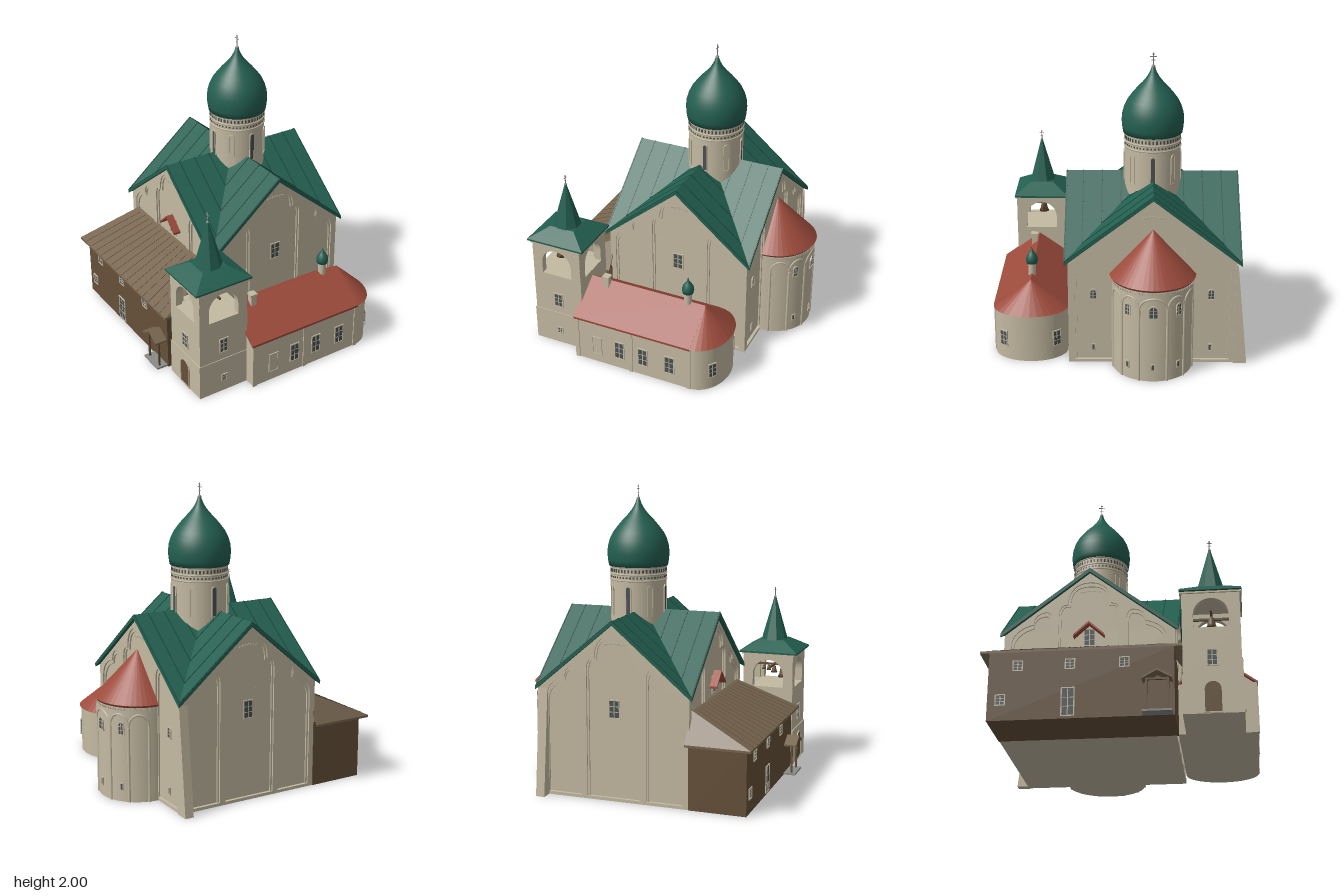
import * as THREE from 'three';

const mat = (name, color) => Object.assign(new THREE.MeshStandardMaterial({ color }), { name });

export function createModel() {
  const stone = mat('limestone', 0xc4baa2), green = mat('greenRoof', 0x235f50), seam = mat('darkGreenSeam', 0x1a483d);
  const red = mat('redTile', 0x9c4b3b), shingle = mat('shingle', 0x77664f), wood = mat('darkWood', 0x655039);
  const glass = mat('windowGlass', 0x4a5052), trim = mat('paleTrim', 0xb9b3a2), metal = mat('greyMetal', 0x8b8b86);
  const root = new THREE.Group();
  root.name = 'church';

  // ---- helpers ----
  const add = (name, geo, m, x = 0, y = 0, z = 0, parent = root) => {
    const mesh = new THREE.Mesh(geo, m);
    mesh.name = name;
    mesh.position.set(x, y, z);
    parent.add(mesh);
    return mesh;
  };
  const box = (name, m, x0, x1, y0, y1, z0, z1, parent = root) =>
    add(name, new THREE.BoxGeometry(x1 - x0, y1 - y0, z1 - z0), m, (x0 + x1) / 2, (y0 + y1) / 2, (z0 + z1) / 2, parent);
  const extrude = (shape, depth) => new THREE.ExtrudeGeometry(shape, { depth, bevelEnabled: false, curveSegments: 10 });
  const poly = (pts) => new THREE.Shape(pts.map(p => new THREE.Vector2(...p)));
  const flat = (g) => { const n = g.toNonIndexed(); n.computeVertexNormals(); return n; };
  const lathe = (pts, n = 40) => new THREE.LatheGeometry(pts.map(p => new THREE.Vector2(...p)), n);
  const group = (name, x, y, z, ry = 0, parent = root) => {
    const g = new THREE.Group();
    g.name = name;
    g.position.set(x, y, z);
    g.rotation.y = ry;
    parent.add(g);
    return g;
  };
  // convex roof sheet with vertical thickness
  const slab = (name, corners, m, t = 0.02) => {
    let p = corners.map(c => new THREE.Vector3(...c));
    const n = p[1].clone().sub(p[0]).cross(p[2].clone().sub(p[0]));
    if (n.y < 0) p.reverse();
    const low = p.map(v => v.clone().setY(v.y - t)), out = [];
    for (let i = 0; i < p.length; i++) {
      const j = (i + 1) % p.length;
      if (i > 0 && j > 0) out.push(p[0], p[i], p[j], low[0], low[j], low[i]);
      out.push(p[i], low[i], low[j], p[i], low[j], p[j]);
    }
    const g = new THREE.BufferGeometry().setFromPoints(out);
    g.computeVertexNormals();
    return add(name, g, m);
  };
  const beam = (name, a, b, w, m) => {
    const A = new THREE.Vector3(...a), B = new THREE.Vector3(...b), mid = A.clone().lerp(B, 0.5);
    add(name, new THREE.BoxGeometry(w, w, A.distanceTo(B)), m, mid.x, mid.y, mid.z).lookAt(B);
  };
  const mix = (a, b, f) => a.map((v, i) => v + (b[i] - v) * f);
  // rectangle or round-topped outline standing on y = y0
  const arch = (w, h, round = true, y0 = 0, S = THREE.Shape) => {
    const s = new S(), r = w / 2, top = round ? y0 + h - r : y0 + h;
    s.moveTo(-r, y0).lineTo(r, y0).lineTo(r, top);
    if (round) s.absarc(0, top, r, 0, Math.PI, false); else s.lineTo(-r, top);
    s.lineTo(-r, y0);
    return s;
  };
  const windowAt = (x, y, z, ry, w, h, round = false, bars = true, pane = glass, parent = root) => {
    const g = group('window', x, y, z, ry, parent);
    const rim = arch(w + 0.014, h + 0.014, round, -0.007);
    rim.holes.push(arch(w, h, round, 0, THREE.Path));
    add('windowFrame', extrude(rim, 0.008), stone, 0, 0, -0.001, g);
    add('windowPane', extrude(arch(w, h, round), 0.005), pane, 0, 0, -0.002, g);
    if (bars) {
      box('mullion', trim, -0.003, 0.003, 0, h - 0.003, 0.002, 0.005, g);
      for (const f of [0.33, 0.66]) box('glazingBar', trim, -w / 2, w / 2, h * f - 0.002, h * f + 0.002, 0.002, 0.005, g);
    }
  };
  const onRound = (cx, cz, r, a) => [cx + Math.sin(a) * r, cz + Math.cos(a) * r];
  const finial = (x, y, z, h) => {
    add('finialBall', new THREE.SphereGeometry(h * 0.14, 12, 8), metal, x, y, z);
    add('finialPole', new THREE.CylinderGeometry(0.0025, 0.0035, h, 6), metal, x, y + h / 2, z);
    [[0.9, 0.09], [0.72, 0.24], [0.45, 0.13]].forEach(([f, l]) =>
      box('finialBar', metal, x - 0.002, x + 0.002, y + h * f - 0.002, y + h * f + 0.002, z - h * l, z + h * l));
  };

  // ---- main hall: crossed gable prisms with layered blind-arch fronts ----
  const CX = 0.085, CZ = -0.22, W = 0.51, D = 0.555;
  const gable = (w, k = 1) => poly([[-w * k, 0], [w * k, 0], [w * k, 1.155 - 0.429 * k], [0, 1.155], [-w * k, 1.155 - 0.429 * k]]);
  add('hallCore', extrude(gable(W, 0.961), 2 * (D - 0.02)), stone, CX, 0, CZ - D + 0.02);
  add('hallCore', extrude(gable(D, 0.964), 2 * (W - 0.02)).rotateY(Math.PI / 2), stone, CX - W + 0.02, 0, CZ);
  const blindArches = (w, e) => {
    const s = gable(w), c = new THREE.Path(), a = (0.363 - e) * w, b = (0.255 - e) * w;
    c.moveTo(-a, 0.02).lineTo(a, 0.02).lineTo(a, 0.85).quadraticCurveTo(a, 0.93, b, 0.93 - e / 2);
    c.bezierCurveTo(b, 1.03, b * 0.6, 1.085 - e, 0, 1.085 - e).bezierCurveTo(-b * 0.6, 1.085 - e, -b, 1.03, -b, 0.93 - e / 2);
    c.quadraticCurveTo(-a, 0.93, -a, 0.85).lineTo(-a, 0.02);
    s.holes.push(c);
    for (const q of [-1, 1]) {
      const p = new THREE.Path(), i = q * (0.435 + e) * w, m = q * 0.66 * w, o = q * (0.92 - e) * w;
      p.moveTo(i, 0.02).lineTo(o, 0.02).lineTo(o, 0.64 - e).quadraticCurveTo(o, 0.76 - e, m, 0.795 - e);
      p.quadraticCurveTo(m, 0.87 - e, q * 0.52 * w, 0.88 - e).quadraticCurveTo(i, 0.88 - e, i, 0.8 - e).lineTo(i, 0.02);
      s.holes.push(p);
    }
    return s;
  };
  for (let i = 0; i < 4; i++) {
    const w = i % 2 ? D : W, d = i % 2 ? W : D, front = group('gableFront', CX, 0, CZ, i * Math.PI / 2);
    add('outerArcade', extrude(blindArches(w, 0), 0.01), stone, 0, 0, d - 0.01, front);
    add('innerArcade', extrude(blindArches(w, 0.025), 0.01), stone, 0, 0, d - 0.02, front);
    if (i !== 1) windowAt(0, i === 3 ? 0.64 : 0.55, d - 0.02, 0, 0.065, 0.11, false, true, glass, front);
    for (let k = -3; k <= 3; k++) {
      add('gableOrnament', new THREE.TorusGeometry(0.009, 0.003, 5, 8, Math.PI), trim, k * 0.02, 1.025 - Math.abs(k) * 0.003, d - 0.02, front);
    }
  }
  for (const z of [0.17, -0.605]) {
    windowAt(CX + W - 0.02, 0.455, z, Math.PI / 2, 0.035, 0.065, true);
    windowAt(CX + W - 0.02, 0.08, z, Math.PI / 2, 0.014, 0.04, false, false);
  }
  add('buttress', extrude(poly([[0.76, 0], [0.85, 0], [0.775, 0.71], [0.76, 0.71]]), 0.06).rotateY(Math.PI / 2), stone, 0.545, 0, 0);

  // ---- crossed roof: eight sheets meeting in valleys, with seams down the slope ----
  const peak = [CX, 1.18, CZ];
  for (const sx of [-1, 1]) for (const sz of [-1, 1]) {
    const corner = [CX + sx * 0.535, 0.73, CZ + sz * 0.58];
    for (const mid of [[CX + sx * 0.535, 1.18, CZ], [CX, 1.18, CZ + sz * 0.58]]) {
      slab('hallRoof', [peak, mid, corner], green, 0.026);
      for (const f of [0.01, 0.2, 0.42, 0.64]) beam('roofSeam', mix(mid, peak, f), mix(corner, peak, f), 0.006, seam);
    }
  }

  // ---- drum and onion dome ----
  const DX = 0.125;
  add('drum', new THREE.CylinderGeometry(0.187, 0.187, 0.53, 48), stone, DX, 1.205, CZ);
  for (const y of [1.38, 1.42, 1.468]) add('drumBand', new THREE.TorusGeometry(0.187, 0.006, 6, 48).rotateX(Math.PI / 2), stone, DX, y, CZ);
  for (let i = 0; i < 48; i++) {
    const a = i * Math.PI / 24, [x, z] = onRound(DX, CZ, 0.187, a), [x2, z2] = onRound(DX, CZ, 0.187, a + 0.065);
    add('drumFrieze', new THREE.BoxGeometry(0.011, 0.022, 0.004), glass, x, 1.443, z).rotation.y = a;
    add('drumFrieze', new THREE.BoxGeometry(0.011, 0.011, 0.004), glass, x2, 1.4, z2).rotation.y = a + 0.065;
  }
  for (let i = 0; i < 8; i++) {
    const a = i * Math.PI / 4, [x, z] = onRound(DX, CZ, 0.186, a);
    windowAt(x, 1.15, z, a, 0.028, 0.19, true, false, i % 2 ? stone : glass);
  }
  add('onionDome', lathe([[0, 1.47], [0.197, 1.47], [0.204, 1.51], [0.207, 1.555], [0.203, 1.6], [0.19, 1.645], [0.168, 1.69],
    [0.138, 1.73], [0.104, 1.77], [0.07, 1.805], [0.042, 1.84], [0.022, 1.875], [0.01, 1.91], [0, 1.915]], 48), green, DX, 0, CZ);
  finial(DX, 1.91, CZ, 0.09);

  // ---- great apse ----
  const AX = 0.595;
  add('apseWall', new THREE.CylinderGeometry(0.265, 0.265, 0.65, 40, 1, false, 0, Math.PI), stone, AX, 0.325, CZ);
  add('apseRoof', flat(new THREE.ConeGeometry(0.282, 0.305, 24, 1, false, 0, Math.PI)), red, AX, 0.8, CZ);
  add('apseEave', new THREE.CylinderGeometry(0.282, 0.272, 0.015, 40, 1, false, 0, Math.PI), red, AX, 0.641, CZ);
  for (let i = 0; i < 40; i++) {
    const a = (i + 0.5) * Math.PI / 40, [x, z] = onRound(AX, CZ, 0.265, a);
    add('apseDentil', new THREE.BoxGeometry(0.01, 0.014, 0.01), trim, x, 0.617, z).rotation.y = a;
  }
  const ribs = [-1.35, -0.85, -0.35, 0.35, 0.85, 1.35].map(a => a + Math.PI / 2);
  ribs.forEach((a, i) => {
    const [x, z] = onRound(AX, CZ, 0.265, a);
    add('apseColumn', new THREE.CylinderGeometry(0.009, 0.009, 0.5, 8), stone, x, 0.25, z);
    if (i === 5) return;
    const path = [];
    for (let k = 0; k <= 12; k++) {
      const [px, pz] = onRound(AX, CZ, 0.265, a + (ribs[i + 1] - a) * (1 - Math.cos(k * Math.PI / 12)) / 2);
      path.push(new THREE.Vector3(px, 0.5 + 0.085 * Math.sin(k * Math.PI / 12), pz));
    }
    add('apseArch', new THREE.TubeGeometry(new THREE.CatmullRomCurve3(path), 16, 0.007, 6), stone);
  });
  for (const a of [-0.66, 0, 0.66]) {
    const [x, z] = onRound(AX, CZ, 0.265, a + Math.PI / 2);
    windowAt(x, 0.455, z, a + Math.PI / 2, a ? 0.03 : 0.05, 0.075, true);
    windowAt(x, 0.08, z, a + Math.PI / 2, 0.014, 0.04, false, false);
  }

  // ---- side chapel with rounded east end ----
  const SZ = 0.593, SX = 0.41;
  const plan = new THREE.Shape();
  plan.moveTo(-0.44, -0.245).lineTo(SX, -0.245).absellipse(SX, 0, 0.182, 0.245, -Math.PI / 2, Math.PI / 2, false);
  plan.lineTo(-0.44, 0.245);
  add('chapelWall', new THREE.ExtrudeGeometry(plan, { depth: 0.33, bevelEnabled: false, curveSegments: 20 }).rotateX(-Math.PI / 2), stone, 0, 0, SZ);
  add('chapelGable', extrude(poly([[-0.245, 0.3], [0.245, 0.3], [0.245, 0.315], [0, 0.495], [-0.245, 0.315]]), 0.84).rotateY(Math.PI / 2), stone, -0.44, 0, SZ);
  for (const s of [-1, 1]) {
    const e = SZ + s * 0.255;
    slab('chapelRoof', [[-0.45, 0.515, SZ], [SX, 0.515, SZ], [SX, 0.332, e], [-0.45, 0.332, e]], red, 0.015);
    windowAt(SX + 0.131, 0.1, SZ + s * 0.176, Math.PI / 2 - s * 0.63, 0.05, 0.1);
  }
  const cap = add('chapelApseRoof', flat(new THREE.ConeGeometry(1, 0.185, 16, 1, false, 0, Math.PI)), red, SX, 0.4225, SZ);
  cap.scale.set(0.195, 1, 0.255);
  for (const x of [-0.11, 0.065, 0.26]) windowAt(x, 0.085, SZ + 0.245, 0, 0.06, 0.125);
  windowAt(-0.28, 0.07, SZ + 0.245, 0, 0.06, 0.13, false, false, stone);
  for (const x of [-0.43, -0.025, 0.4]) box('chapelPilaster', stone, x - 0.015, x + 0.015, 0, 0.33, SZ + 0.24, SZ + 0.252);
  box('chimney', stone, -0.326, -0.284, 0.46, 0.555, 0.6, 0.642);
  box('chimneyCap', stone, -0.331, -0.279, 0.55, 0.565, 0.595, 0.647);
  add('cupolaDrum', new THREE.CylinderGeometry(0.026, 0.026, 0.1, 16), stone, 0.285, 0.54, SZ);
  add('cupolaDome', lathe([[0, 0.585], [0.036, 0.585], [0.041, 0.61], [0.036, 0.635], [0.022, 0.657], [0.009, 0.675], [0, 0.705]], 20), green, 0.285, 0, SZ);

  // ---- bell tower ----
  const TX = -0.613, TZ = 0.577;
  box('towerBase', stone, TX - 0.187, TX + 0.183, 0, 0.25, TZ - 0.183, TZ + 0.183);
  box('towerShaft', stone, TX - 0.18, TX + 0.18, 0.25, 0.557, TZ - 0.178, TZ + 0.178);
  for (let i = 0; i < 4; i++) {
    const side = group('belfrySide', TX, 0, TZ, i * Math.PI / 2);
    const wall = poly([[-0.178, 0.555], [0.178, 0.555], [0.178, 0.81], [-0.178, 0.81]]);
    wall.holes.push(arch(0.22, 0.195, true, 0.558, THREE.Path));
    add('belfryWall', extrude(wall, 0.045), stone, 0, 0, 0.134, side);
    box('belfryCornice', stone, -0.19, 0.19, 0.787, 0.803, 0.17, 0.19, side);
  }
  box('belfryCeiling', stone, TX - 0.16, TX + 0.16, 0.79, 0.805, TZ - 0.16, TZ + 0.16);
  windowAt(TX, 0.31, TZ + 0.178, 0, 0.055, 0.095);
  windowAt(TX, 0.085, TZ + 0.183, 0, 0.03, 0.04);
  windowAt(TX - 0.18, 0.31, TZ, -Math.PI / 2, 0.055, 0.095);
  windowAt(TX - 0.187, 0.01, TZ, -Math.PI / 2, 0.1, 0.19, true, false, wood);
  const skirt = (r0, r1, h, y) => add('towerRoofSkirt', flat(new THREE.CylinderGeometry(r0 * Math.SQRT2, r1 * Math.SQRT2, h, 4).rotateY(Math.PI / 4)), green, TX, y, TZ).scale.set(1.04, 1, 0.96);
  skirt(0.2, 0.2, 0.012, 0.804);
  skirt(0.085, 0.2, 0.07, 0.845);
  add('towerSpire', flat(new THREE.CylinderGeometry(0.008, 0.094, 0.3, 8).rotateY(Math.PI / 8)), green, TX, 1.025, TZ);
  finial(TX, 1.18, TZ, 0.07);
  box('bellBeam', wood, TX - 0.14, TX + 0.14, 0.682, 0.696, TZ - 0.007, TZ + 0.007);
  box('bellBeam', wood, TX - 0.007, TX + 0.007, 0.682, 0.696, TZ - 0.14, TZ + 0.14);
  [[-0.065, 0.085], [0.0, 0.055], [0.04, 0.04], [0.075, 0.035]].forEach(([dx, h]) =>
    add('bell', lathe([[0, 0], [0.42 * h, 0], [0.3 * h, 0.3 * h], [0.22 * h, 0.75 * h], [0.06 * h, 0.95 * h], [0, h]], 14), wood, TX + dx, 0.684 - h, TZ));

  // ---- timber lean-to along the west wall ----
  box('leanToWall', wood, -0.8, -0.42, 0, 0.44, -0.78, 0.35);
  slab('leanToRoof', [[-0.84, 0.437, -0.83], [-0.84, 0.437, 0.4], [-0.42, 0.625, 0.28], [-0.42, 0.625, -0.7]], shingle, 0.015);
  for (const [e, r] of [[-0.83, -0.7], [0.4, 0.28]])
    slab('leanToHip', [[-0.84, 0.437, e], [-0.41, 0.437, e], [-0.41, 0.625, r], [-0.42, 0.625, r]], shingle, 0.015);
  for (let i = 1; i < 16; i++) {
    const f = i / 16;
    beam('shingleSeam', [-0.838, 0.438, -0.83 + 1.23 * f], [-0.44, 0.616, -0.7 + 0.98 * f], 0.004, wood);
  }
  for (const z of [-0.6, -0.28, 0.05]) windowAt(-0.8, 0.32, z, -Math.PI / 2, 0.05, 0.055);
  windowAt(-0.8, 0.1, -0.7, -Math.PI / 2, 0.05, 0.06);
  windowAt(-0.8, 0.02, -0.29, -Math.PI / 2, 0.07, 0.17);
  // small tiled canopy above the lean-to
  for (const s of [-1, 1]) slab('wallCanopy', [[-0.41, 0.79, CZ], [-0.462, 0.79, CZ], [-0.462, 0.7, CZ + s * 0.1], [-0.41, 0.7, CZ + s * 0.1]], red, 0.015);
  // porch
  box('porchStep', metal, -0.88, -0.8, 0, 0.012, 0.16, 0.34);
  for (const s of [-1, 1]) {
    slab('porchRoof', [[-0.885, 0.265, 0.25], [-0.79, 0.265, 0.25], [-0.79, 0.215, 0.25 + s * 0.09], [-0.885, 0.215, 0.25 + s * 0.09]], shingle, 0.012);
    box('porchPost', wood, -0.855, -0.843, 0, 0.225, 0.244 + s * 0.065, 0.256 + s * 0.065);
  }
  box('porchBeam', wood, -0.855, -0.843, 0.205, 0.217, 0.18, 0.32);
  return root;
}
